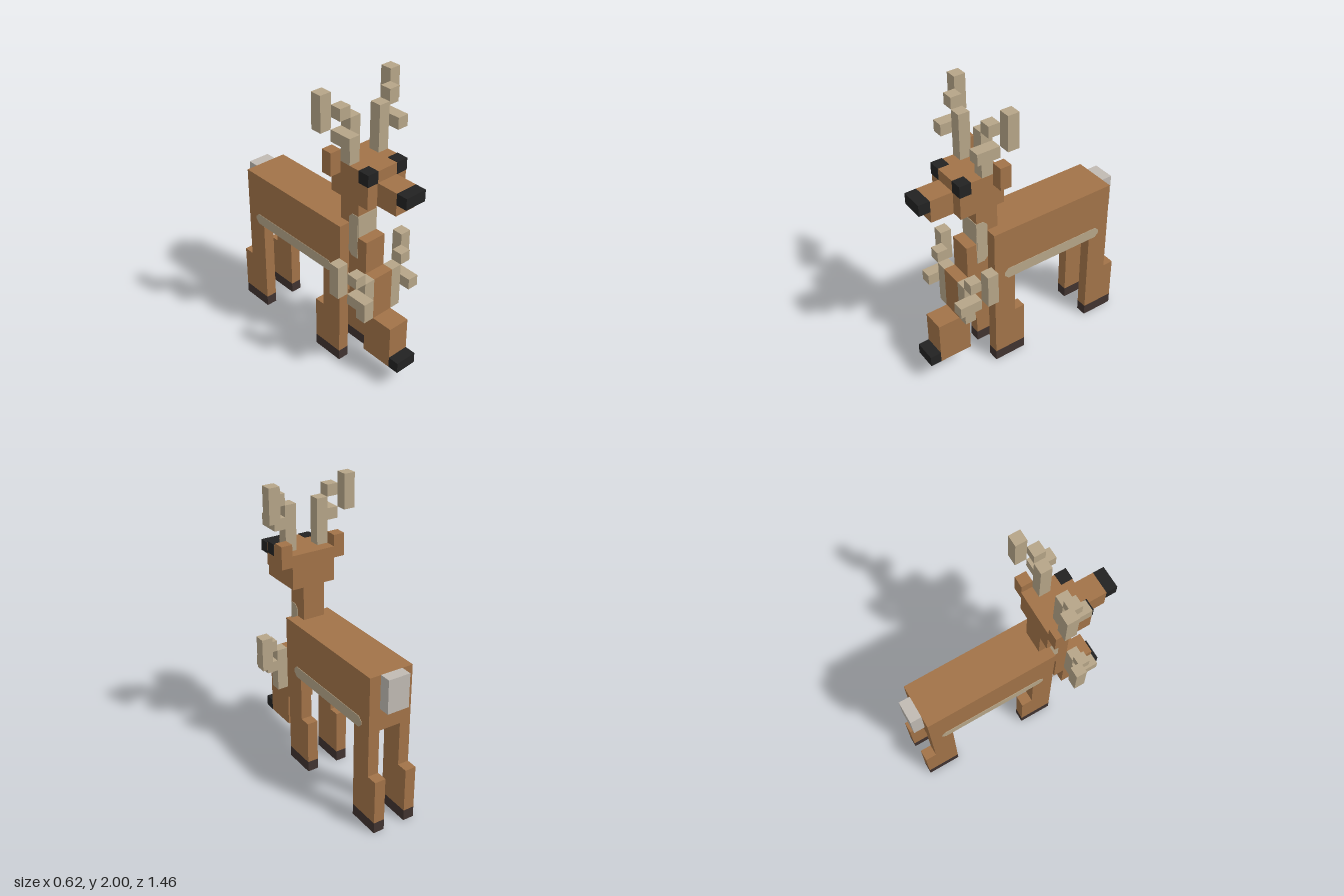
import * as THREE from 'three';

const U = 2 / 26; // one block unit

const mat = (name, color) => {
  const m = new THREE.MeshStandardMaterial({ color });
  m.name = name;
  return m;
};

export function createModel() {
  const root = new THREE.Group();
  root.name = 'antleredDeer';
  const fur = mat('brownFur', 0xa27348);
  const tan = mat('tan', 0xb6a588);
  const black = mat('black', 0x222222);
  const hoof = mat('darkHoof', 0x403330);
  const grey = mat('paleTail', 0xc0bab3);

  // Block spanning two corners, in block units
  const block = (name, m, [x0, x1], [y0, y1], [z0, z1], parent = root) => {
    const mesh = new THREE.Mesh(
      new THREE.BoxGeometry((x1 - x0) * U, (y1 - y0) * U, (z1 - z0) * U), m);
    mesh.position.set((x0 + x1) / 2 * U, (y0 + y1) / 2 * U, (z0 + z1) / 2 * U);
    mesh.name = name;
    parent.add(mesh);
    return mesh;
  };
  // Same block on both sides of the body
  const pair = (name, m, [x0, x1], y, z) => {
    block(name + 'Left', m, [x0, x1], y, z);
    block(name + 'Right', m, [-x1, -x0], y, z);
  };
  // Thin side marking with cut corners; c lists the cut of each corner
  const sidePatch = (name, x, [y0, y1], [z0, z1], c) => {
    const s = new THREE.Shape();
    const pts = [
      [z0 + c[0], y0], [z1 - c[1], y0], [z1, y0 + c[1]], [z1, y1 - c[2]],
      [z1 - c[2], y1], [z0 + c[3], y1], [z0, y1 - c[3]], [z0, y0 + c[0]],
    ];
    s.setFromPoints(pts.map(([z, y]) => new THREE.Vector2(-z * U, y * U)).reverse());
    const t = 0.004;
    for (const side of [1, -1]) {
      const g = new THREE.ExtrudeGeometry(s, { depth: t, bevelEnabled: false });
      g.rotateY(Math.PI / 2);
      g.translate(side > 0 ? x * U - 0.001 : -x * U - t + 0.001, 0, 0);
      const mesh = new THREE.Mesh(g, tan);
      mesh.name = name + (side > 0 ? 'Left' : 'Right');
      root.add(mesh);
    }
  };

  // Body, neck and tail
  block('body', fur, [-2, 2], [9, 14], [-8.5, 3.5]);
  block('neck', fur, [-1, 1], [14, 17], [2.5, 4.5]);
  block('chest', fur, [-1, 1], [9, 14], [3.5, 4.5]);
  block('tail', grey, [-1, 1], [11, 14], [-9.5, -8.5]);

  // Pale belly and throat markings
  const k = 0.35;
  sidePatch('bellyStripe', 2, [9, 10], [-7.5, 2.5], [k, k, k, k]);
  block('bellyUnderside', tan, [-2, 2], [8.96, 9.02], [-6.5, 0.5]);
  sidePatch('throatSide', 1, [11, 15], [3.5, 4.5], [k, 0, 0, k]);
  block('throatFront', tan, [-1, 1], [11, 15], [4.48, 4.55]);

  // Legs with hooves
  pair('frontUpperLeg', fur, [1, 2], [5, 9], [1.5, 3.5]);
  pair('frontLowerLeg', fur, [1, 2], [1, 5], [0.5, 3.5]);
  pair('frontHoof', hoof, [1, 2], [0, 1], [0.5, 3.5]);
  pair('backUpperLeg', fur, [1, 2], [5, 9], [-8.5, -6.5]);
  pair('backLowerLeg', fur, [1, 2], [1, 5], [-9.5, -6.5]);
  pair('backHoof', hoof, [1, 2], [0, 1], [-9.5, -6.5]);

  // Raised head
  block('head', fur, [-2, 2], [17, 20], [2.5, 6.5]);
  block('snout', fur, [-1, 1], [17, 19], [6.5, 8.5]);
  block('nose', black, [-1, 1], [18, 19], [8.5, 9.5]);
  pair('eye', black, [1, 2.04], [19, 20.04], [5.5, 6.54]);
  pair('ear', fur, [2, 3], [19, 21], [2.5, 3.5]);

  // Lowered head
  block('loweredNeck', fur, [-1, 1], [10, 13], [4.5, 5.5]);
  block('loweredHeadBack', fur, [-1, 1], [5, 10], [4.5, 5.5]);
  block('loweredForehead', fur, [-1, 1], [6, 10], [5.5, 6.5]);
  block('loweredSnout', fur, [-1, 1], [2, 6], [5.5, 8.5]);
  block('loweredNose', black, [-1, 1], [2, 3], [8.5, 9.5]);

  // Matching antlers on both heads
  for (const [name, y, z] of [['antler', 20, 3.5], ['loweredAntler', 6, 5.5]]) {
    pair(name + 'Stem', tan, [1, 2], [y, y + 4], [z, z + 1]);
    pair(name + 'Prong', tan, [2, 3], [y + 2, y + 3], [z, z + 2]);
    pair(name + 'Branch', tan, [2, 3], [y + 4, y + 5], [z, z + 1]);
    pair(name + 'Tip', tan, [3, 4], [y + 3, y + 6], [z - 1, z]);
  }
  return root;
}
